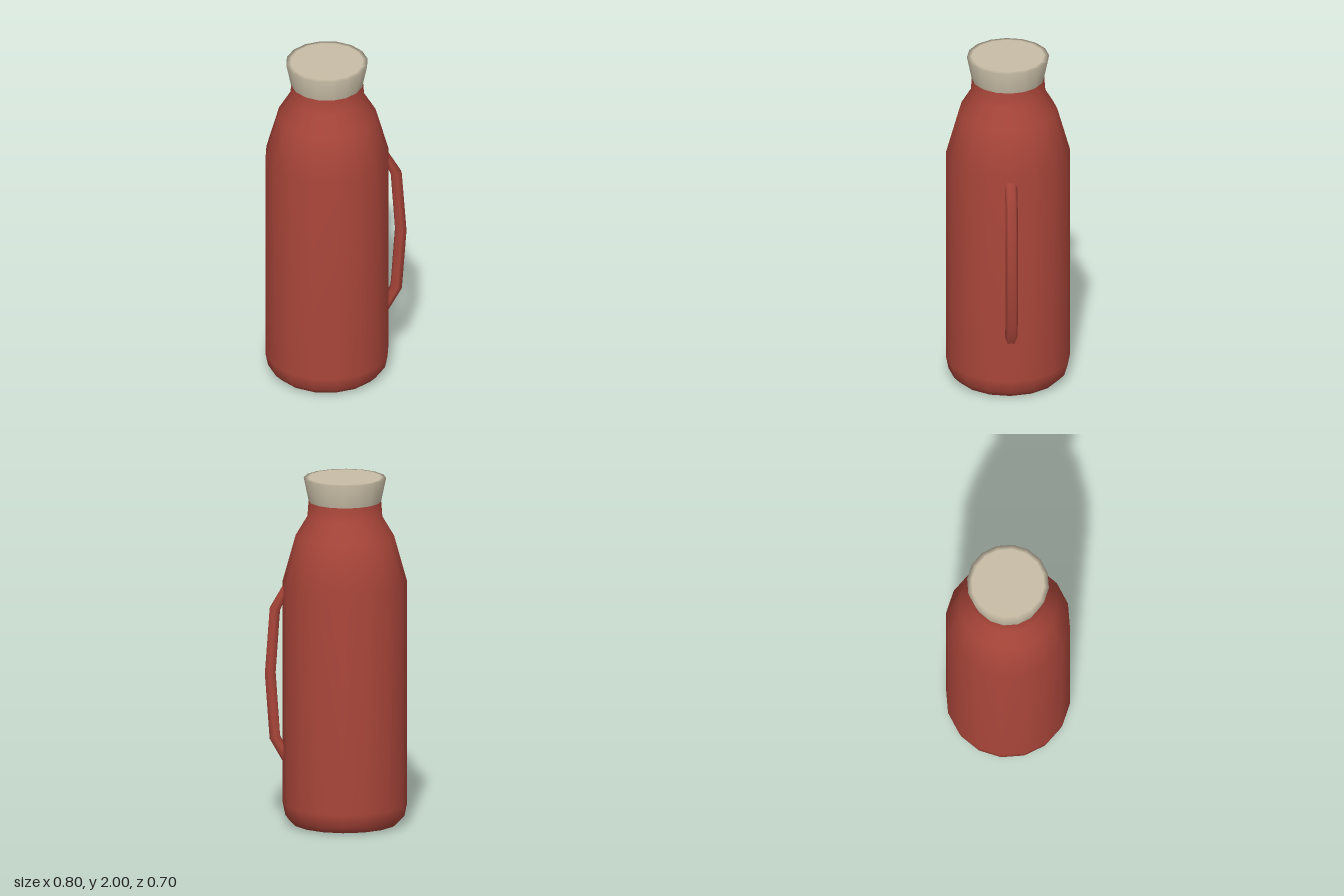
import * as THREE from 'three';

const SIDES = 16;
const CENTRE_X = -0.052;

// Smooth turned part from [radius, height] pairs, bottom to top
function turned(name, profile, material) {
  const points = profile.map(([r, y]) => new THREE.Vector2(r, y));
  const mesh = new THREE.Mesh(new THREE.LatheGeometry(points, SIDES), material);
  mesh.name = name;
  mesh.position.x = CENTRE_X;
  return mesh;
}

// Six-sided grip lofted through stations of [innerX, innerY, outerX, outerY]
function gripGeometry(stations) {
  const section = [[1, 0.02], [0.5, 0.035], [0, 0.02], [0, -0.02], [0.5, -0.035], [1, -0.02]];
  const n = section.length;
  const positions = [];
  const index = [];
  stations.forEach(([ix, iy, ox, oy], i) => {
    section.forEach(([t, z], j) => {
      positions.push(ix + (ox - ix) * t, iy + (oy - iy) * t, z);
      if (i === stations.length - 1) return;
      const a = i * n + j;
      const b = i * n + (j + 1) % n;
      index.push(a, b, a + n, b, b + n, a + n);
    });
  });
  const geometry = new THREE.BufferGeometry();
  geometry.setAttribute('position', new THREE.Float32BufferAttribute(positions, 3));
  geometry.setIndex(index);
  geometry.computeVertexNormals();
  return geometry;
}

export function createModel() {
  const red = new THREE.MeshStandardMaterial({ color: 0xaa463a });
  red.name = 'red enamel';
  const cream = new THREE.MeshStandardMaterial({ color: 0xc8bda6 });
  cream.name = 'cream lid';

  const group = new THREE.Group();
  group.name = 'flask';

  // Body with rounded foot, sloping shoulder and short neck
  group.add(turned('body', [
    [0, 0], [0.27, 0], [0.3, 0.006], [0.337, 0.045], [0.352, 0.12],
    [0.352, 1.4], [0.278, 1.665], [0.212, 1.775], [0.205, 1.865],
  ], red));

  // Flared lid
  group.add(turned('lid', [
    [0.205, 1.862], [0.233, 1.998], [0.205, 2], [0, 2],
  ], cream));

  // Side handle, both ends sunk into the body
  const handle = new THREE.Mesh(gripGeometry([
    [0.27, 1.34, 0.27, 1.42],
    [0.315, 1.23, 0.373, 1.24],
    [0.34, 0.865, 0.4, 0.865],
    [0.315, 0.5, 0.373, 0.49],
    [0.27, 0.41, 0.27, 0.31],
  ]), red);
  handle.name = 'handle';
  group.add(handle);

  return group;
}
